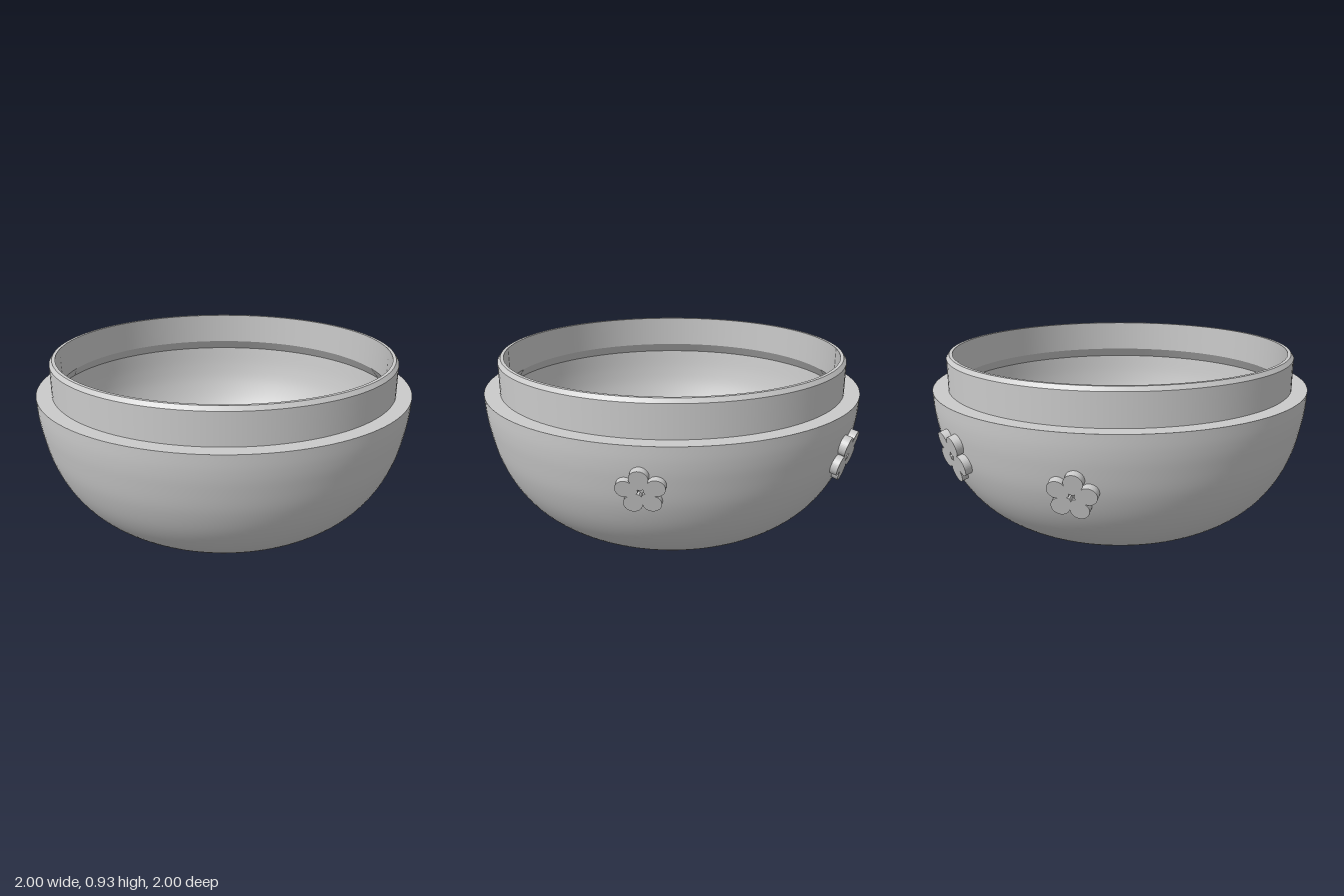
import * as THREE from 'three';

const clay = new THREE.MeshStandardMaterial({ color: 0xcacaca });
clay.name = 'grey';

const toVectors = (pts) => pts.map(([x, y]) => new THREE.Vector2(x, y));

// Surface of revolution; smooth sections run through a spline, others stay sharp
function turned(name, pts, smooth = false) {
  const group = new THREE.Group();
  group.name = name;
  const points = toVectors(pts);
  const sections = smooth
    ? [new THREE.SplineCurve(points).getPoints(72).map((p) => p.setX(Math.max(p.x, 0)))]
    : points.slice(1).map((p, i) => [points[i], p]);
  sections.forEach((section) => {
    const mesh = new THREE.Mesh(new THREE.LatheGeometry(section, 128), clay);
    mesh.name = name + 'Surface';
    group.add(mesh);
  });
  return group;
}

// Closed outline from a polar rule
function polar(ShapeType, count, rule) {
  return new ShapeType(Array.from({ length: count }, (_, i) => {
    const a = (i / count) * Math.PI * 2;
    const r = rule(a, i);
    return new THREE.Vector2(-r * Math.sin(a), r * Math.cos(a));
  }));
}

// Five-petalled flower with a star-shaped hole, facing +z
function flowerGeometry(radius) {
  const shape = polar(THREE.Shape, 120,
    (a) => radius * (0.55 + 0.45 * Math.pow(Math.abs(Math.cos(2.5 * a)), 0.6)));
  shape.holes.push(polar(THREE.Path, 10, (a, i) => radius * (i % 2 ? 0.19 : 0.1)));
  const geometry = new THREE.ExtrudeGeometry(shape, { depth: 0.09, bevelEnabled: false });
  return geometry.translate(0, 0, -0.055);
}

export function createModel() {
  const model = new THREE.Group();
  model.name = 'bowl';

  // Rounded outer wall with a dimpled base
  model.add(turned('outerWall', [
    [0, 0.08], [0.08, 0.074], [0.17, 0.048], [0.27, 0.018], [0.38, 0.002],
    [0.5, 0.016], [0.61, 0.047], [0.72, 0.107], [0.82, 0.196], [0.9, 0.312],
    [0.955, 0.445], [0.985, 0.58], [0.997, 0.67], [1, 0.75],
  ], true));

  // Shoulder, collar with chamfered lip, and undercut below the collar
  model.add(turned('collar', [
    [1, 0.75], [0.92, 0.75], [0.92, 0.91], [0.905, 0.93], [0.888, 0.93],
    [0.888, 0.755], [0.925, 0.7],
  ]));

  // Hollow interior, an even wall thickness inside the outer wall
  model.add(turned('innerWall', [
    [0.925, 0.7], [0.912, 0.58], [0.887, 0.467], [0.836, 0.344], [0.768, 0.245],
    [0.68, 0.167], [0.585, 0.114], [0.485, 0.085], [0.38, 0.072], [0.285, 0.085],
    [0.19, 0.115], [0.09, 0.143], [0, 0.15],
  ], true));

  // Flowers on the back: azimuth from -z toward +x, height, wall radius, size, spin
  [
    [-29, 0.515, 0.965, 0.135, 36],
    [38.3, 0.545, 0.965, 0.114, 5],
    [-70.5, 0.465, 0.957, 0.118, -10],
  ].forEach(([azimuth, y, wall, size, spin]) => {
    const a = THREE.MathUtils.degToRad(azimuth);
    const outward = new THREE.Vector3(Math.sin(a), 0, -Math.cos(a));
    const flower = new THREE.Mesh(flowerGeometry(size), clay);
    flower.name = 'flower';
    flower.position.copy(outward).multiplyScalar(wall).setY(y);
    flower.lookAt(flower.position.clone().add(outward).setY(y - 0.25));
    flower.rotateZ(THREE.MathUtils.degToRad(spin));
    model.add(flower);
  });

  // Small thin-rayed star under the base
  const star = polar(THREE.Shape, 10, (a, i) => (i % 2 ? 0.022 : 0.11));
  const baseStar = new THREE.Mesh(
    new THREE.ExtrudeGeometry(star, { depth: 0.03, bevelEnabled: false }), clay);
  baseStar.name = 'baseStar';
  baseStar.rotation.x = Math.PI / 2;
  baseStar.position.y = 0.098;
  model.add(baseStar);

  return model;
}
